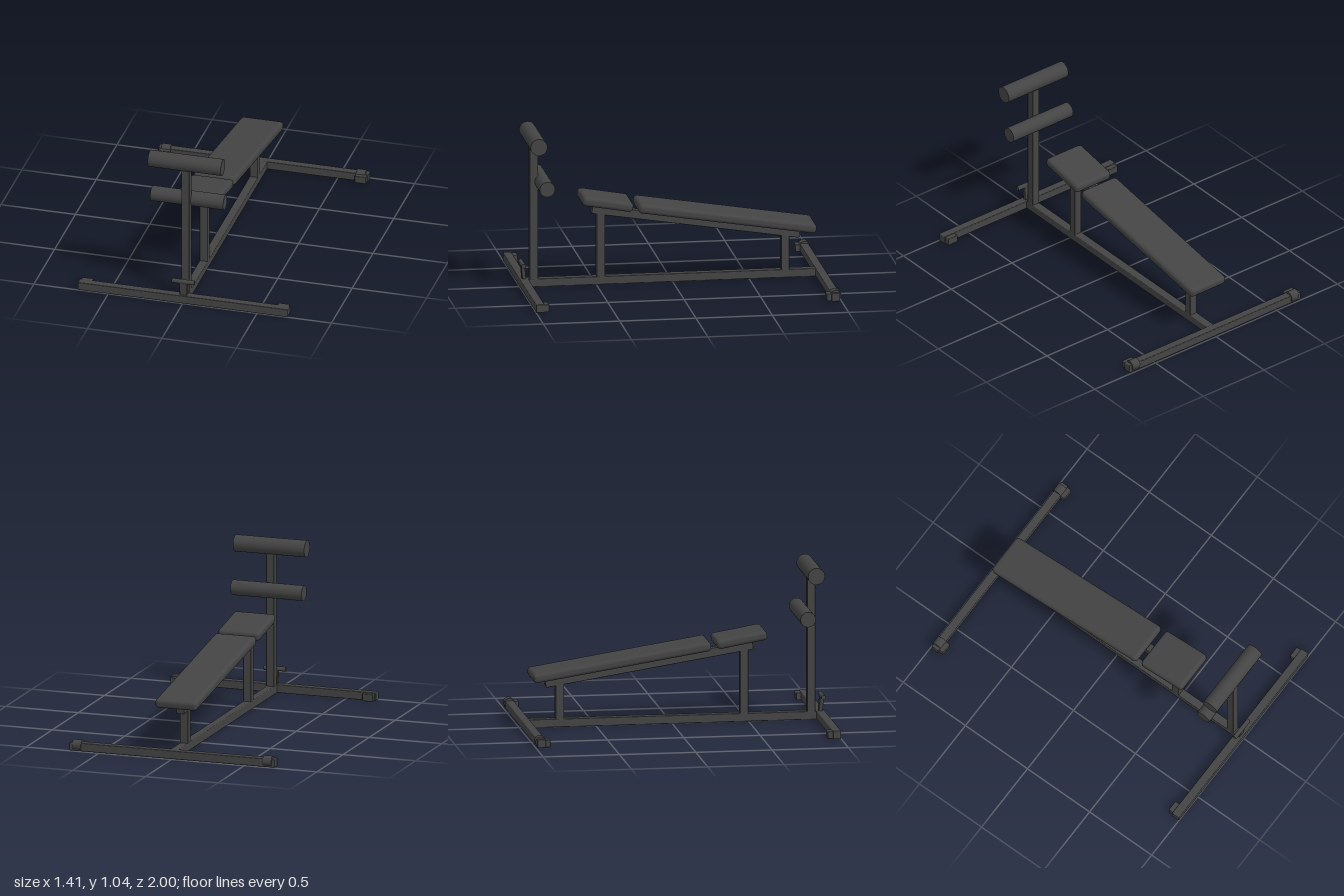
import * as THREE from 'three';
import { RoundedBoxGeometry } from 'three/addons/geometries/RoundedBoxGeometry.js';

const TILT = 0.156; // slope of the bench
const TUBE = 0.055; // square tube size

export function createModel() {
  const group = new THREE.Group();
  const gray = new THREE.MeshStandardMaterial({ color: 0x444444 });
  gray.name = 'charcoal';

  const add = (name, geometry, x, y, z, tilt = 0) => {
    const mesh = new THREE.Mesh(geometry, gray);
    mesh.name = name;
    mesh.position.set(x, y, z);
    mesh.rotation.x = tilt;
    group.add(mesh);
    return mesh;
  };
  const box = (name, w, h, d, x, y, z, tilt, radius = 0.005, segments = 2) =>
    add(name, new RoundedBoxGeometry(w, h, d, segments, radius), x, y, z, tilt);
  // Cylinder lying along x
  const roller = (name, radius, length, x, y, z) =>
    add(name, new THREE.CylinderGeometry(radius, radius, length, 32).rotateZ(Math.PI / 2), x, y, z);
  // Upright tube between two heights
  const post = (name, y0, y1, z) => box(name, TUBE, y1 - y0, TUBE, 0, (y0 + y1) / 2, z);

  // Floor frame
  box('frontCrossbar', 1.412, TUBE, TUBE, 0, 0.0275, 0.9725);
  box('rearCrossbar', 1.412, TUBE, TUBE, 0, 0.0275, -0.963);
  box('floorBeam', TUBE, TUBE, 1.89, 0, 0.0275, 0.005);

  // Feet on the crossbars and rollers on the rear ends
  for (const side of [-1, 1]) {
    box('frontFoot', 0.075, 0.05, 0.035, side * 0.66, 0.026, 0.93);
    box('rearFoot', 0.075, 0.05, 0.035, side * 0.66, 0.026, -0.922);
    roller('rearWheel', 0.035, 0.06, side * 0.655, 0.036, -0.965);
  }

  // Uprights
  post('legRestPost', 0.05, 0.95, 0.91);
  post('frontSupport', 0.05, 0.5, 0.47);
  post('rearSupport', 0.05, 0.32, -0.737);

  // Sloping beam and cushions
  box('benchBeam', TUBE, 0.058, 1.378, 0, 0.397, -0.152, -TILT);
  box('headPad', 0.286, 0.062, 0.335, 0, 0.558, 0.44, -0.172, 0.024, 4);
  box('backPad', 0.286, 0.062, 1.178, 0, 0.432, -0.344, -TILT, 0.024, 4);

  // Leg rollers
  roller('upperRoller', 0.055, 0.49, 0, 0.985, 0.91);
  roller('lowerRoller', 0.05, 0.49, 0, 0.702, 0.855);

  // Foot peg at the base of the post
  box('pegStem', 0.05, 0.115, 0.026, 0, 0.1, 0.977, 0.1);
  roller('footPeg', 0.015, 0.15, 0, 0.152, 0.983);

  return group;
}
